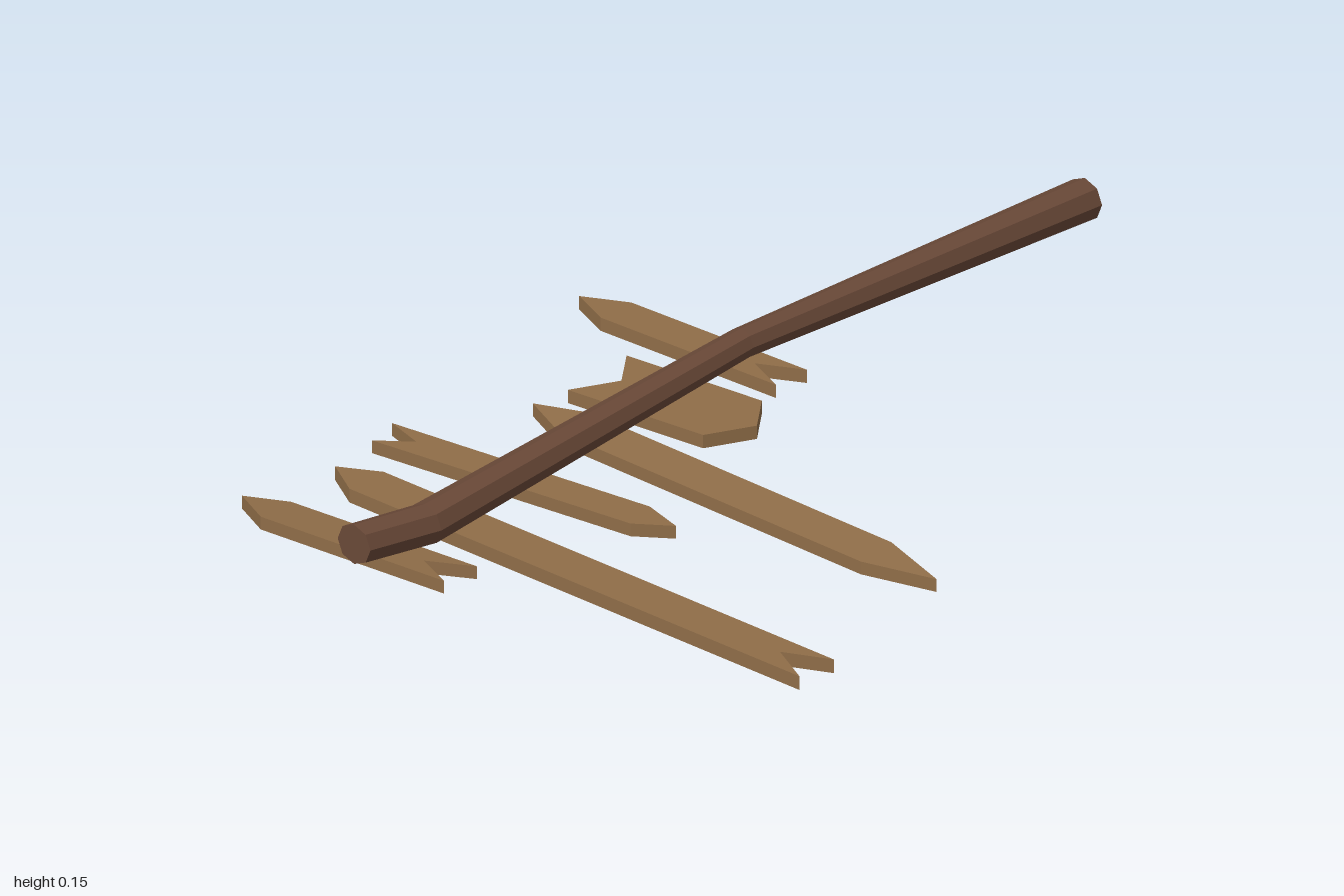
import * as THREE from 'three';

const boardWood = new THREE.MeshStandardMaterial({ color: 0x8f6d48 });
boardWood.name = 'boardWood';
const postWood = new THREE.MeshStandardMaterial({ color: 0x6a4938 });
postWood.name = 'postWood';

// Faceted mesh with hard edges
function facetedMesh(name, geometry, material) {
  const flat = geometry.index ? geometry.toNonIndexed() : geometry;
  flat.computeVertexNormals();
  const mesh = new THREE.Mesh(flat, material);
  mesh.name = name;
  return mesh;
}

// Crooked post: an eight-sided tube through [x, y, z, radius] stations
function makePost() {
  const stations = [
    [-0.235, 0.109, 1, 0.04],
    [-0.212, 0.096, 0.83, 0.041],
    [-0.24, 0.126, -0.08, 0.03],
    [-0.211, 0.096, -1, 0.042],
  ];
  const geometry = new THREE.CylinderGeometry(1, 1, 3, 8, 3);
  geometry.rotateX(Math.PI / 2);
  const pos = geometry.attributes.position;
  for (let i = 0; i < pos.count; i++) {
    const [x, y, z, r] = stations[Math.round(1.5 - pos.getZ(i))];
    pos.setXYZ(i, x + pos.getX(i) * r, y + pos.getY(i) * r, z);
  }
  return facetedMesh('post', geometry, postWood);
}

// Board: [x, z] outline, extruded upwards and then tilted about its middle
function makeBoard({ name, outline, y, thick, slopeX = 0, slopeZ = 0 }) {
  const shape = new THREE.Shape(outline.map(([x, z]) => new THREE.Vector2(x, -z)));
  const geometry = new THREE.ExtrudeGeometry(shape, { depth: thick, bevelEnabled: false });
  geometry.rotateX(-Math.PI / 2);
  geometry.computeBoundingBox();
  const mid = geometry.boundingBox.getCenter(new THREE.Vector3());
  const pos = geometry.attributes.position;
  for (let i = 0; i < pos.count; i++) {
    const lift = slopeX * (pos.getX(i) - mid.x) + slopeZ * (pos.getZ(i) - mid.z);
    pos.setY(i, pos.getY(i) - thick / 2 + y + lift);
  }
  return facetedMesh(name, geometry, boardWood);
}

// Arrow boards, from the top of the post down to its foot
const boards = [
  {
    name: 'topArrow', y: 0.077, thick: 0.027,
    outline: [[-0.643, -0.087], [-0.553, -0.045], [-0.124, -0.045],
      [-0.214, -0.087], [-0.124, -0.13], [-0.553, -0.13]],
  },
  {
    name: 'wideArrow', y: 0.071, thick: 0.027,
    outline: [[-0.42, 0.034], [-0.357, 0.12], [-0.405, 0.214],
      [-0.093, 0.193], [-0.045, 0.098], [-0.108, 0.013]],
  },
  {
    name: 'doublePointedArrow', y: 0.057, thick: 0.026, slopeX: -0.028, slopeZ: -0.1,
    outline: [[-0.415, 0.3], [-0.31, 0.347], [0.437, 0.357],
      [0.59, 0.32], [0.437, 0.272], [-0.31, 0.262]],
  },
  {
    name: 'slantedArrow', y: 0.051, thick: 0.026, slopeX: -0.005,
    outline: [[-0.58, 0.503], [-0.495, 0.532], [-0.56, 0.582],
      [0.024, 0.527], [0.093, 0.479], [0.003, 0.45]],
  },
  {
    name: 'longArrow', y: 0.032, thick: 0.028, slopeX: -0.028,
    outline: [[-0.542, 0.704], [-0.463, 0.754], [0.637, 0.754],
      [0.545, 0.704], [0.637, 0.659], [-0.463, 0.659]],
  },
  {
    name: 'bottomArrow', y: 0.036, thick: 0.026, slopeZ: 0.08,
    outline: [[-0.606, 0.89], [-0.516, 0.94], [-0.087, 0.918],
      [-0.177, 0.873], [-0.093, 0.82], [-0.526, 0.844]],
  },
];

export function createModel() {
  const signpost = new THREE.Group();
  signpost.name = 'fallenSignpost';
  signpost.add(makePost(), ...boards.map(makeBoard));
  return signpost;
}
